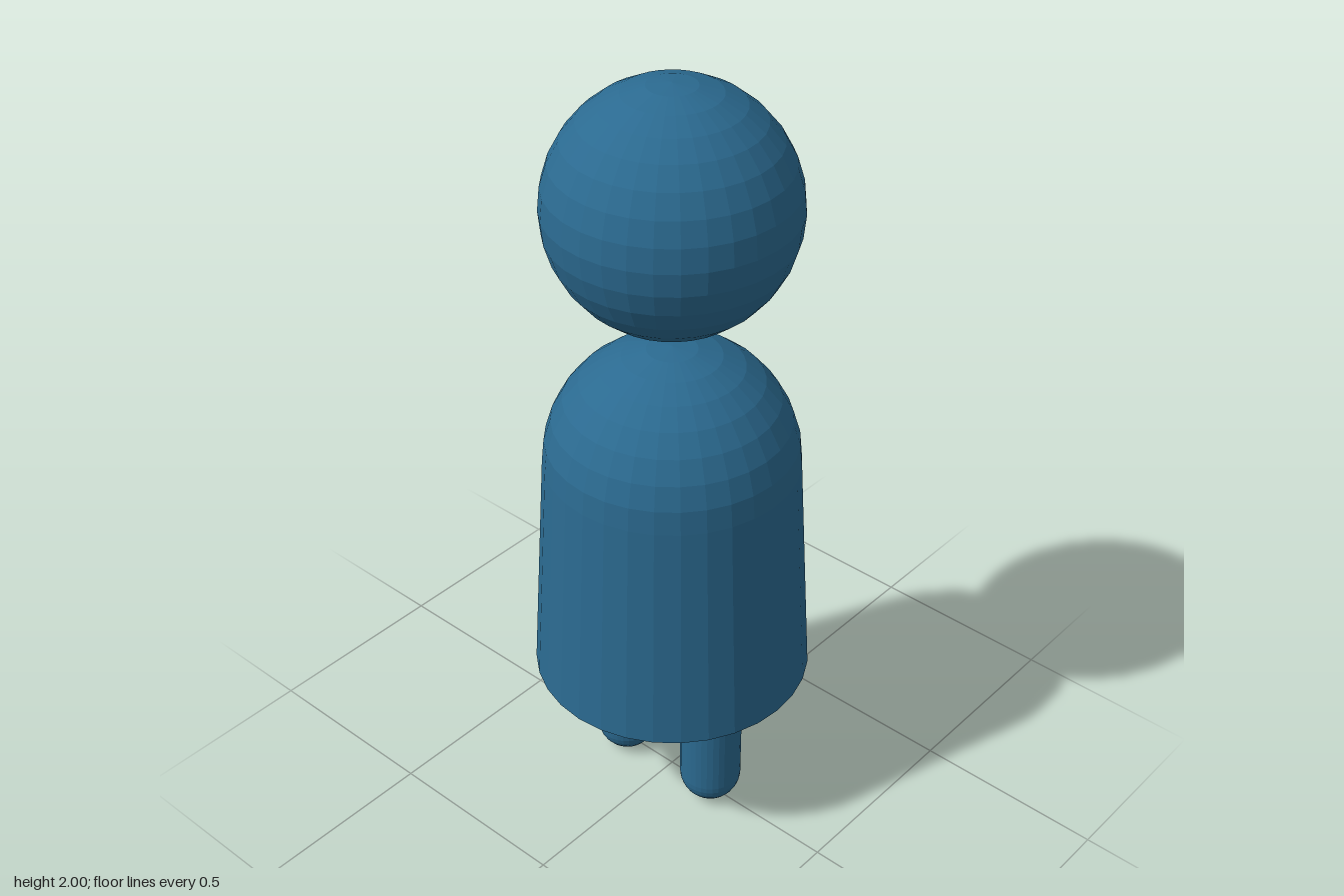
import * as THREE from 'three';

const SEGMENTS = 32;
const RINGS = 16;

export function createModel() {
  const model = new THREE.Group();
  model.name = 'figure';
  const material = new THREE.MeshStandardMaterial({ color: 0x2b6a90, flatShading: true });

  function add(name, geometry, parent, x, y, z) {
    const mesh = new THREE.Mesh(geometry, material);
    mesh.name = name;
    mesh.position.set(x, y, z);
    parent.add(mesh);
  }

  // Floating head
  add('head', new THREE.SphereGeometry(0.3, SEGMENTS, RINGS), model, 0, 1.7, 0);

  // Tapered body, closed below, with domed shoulders
  const bottom = 0.405, shoulder = 1.02, shoulderRadius = 0.315;
  const height = shoulder - bottom;
  add('body', new THREE.CylinderGeometry(shoulderRadius, 0.352, height, SEGMENTS), model, 0, bottom + height / 2, 0);
  add('shoulders',
    new THREE.SphereGeometry(shoulderRadius, SEGMENTS, RINGS / 2, 0, Math.PI * 2, 0, Math.PI / 2),
    model, 0, shoulder, 0);

  // Two legs, front and back, with rounded feet
  const legRadius = 0.08, legTop = 0.41;
  const legHeight = legTop - legRadius;
  for (const [name, z] of [['frontLeg', 0.145], ['backLeg', -0.152]]) {
    const leg = new THREE.Group();
    leg.name = name;
    leg.position.set(-0.012, 0, z);
    add('shin', new THREE.CylinderGeometry(legRadius, legRadius, legHeight, SEGMENTS), leg, 0, legRadius + legHeight / 2, 0);
    add('foot',
      new THREE.SphereGeometry(legRadius, SEGMENTS, RINGS / 2, 0, Math.PI * 2, Math.PI / 2, Math.PI / 2),
      leg, 0, legRadius, 0);
    model.add(leg);
  }

  return model;
}
